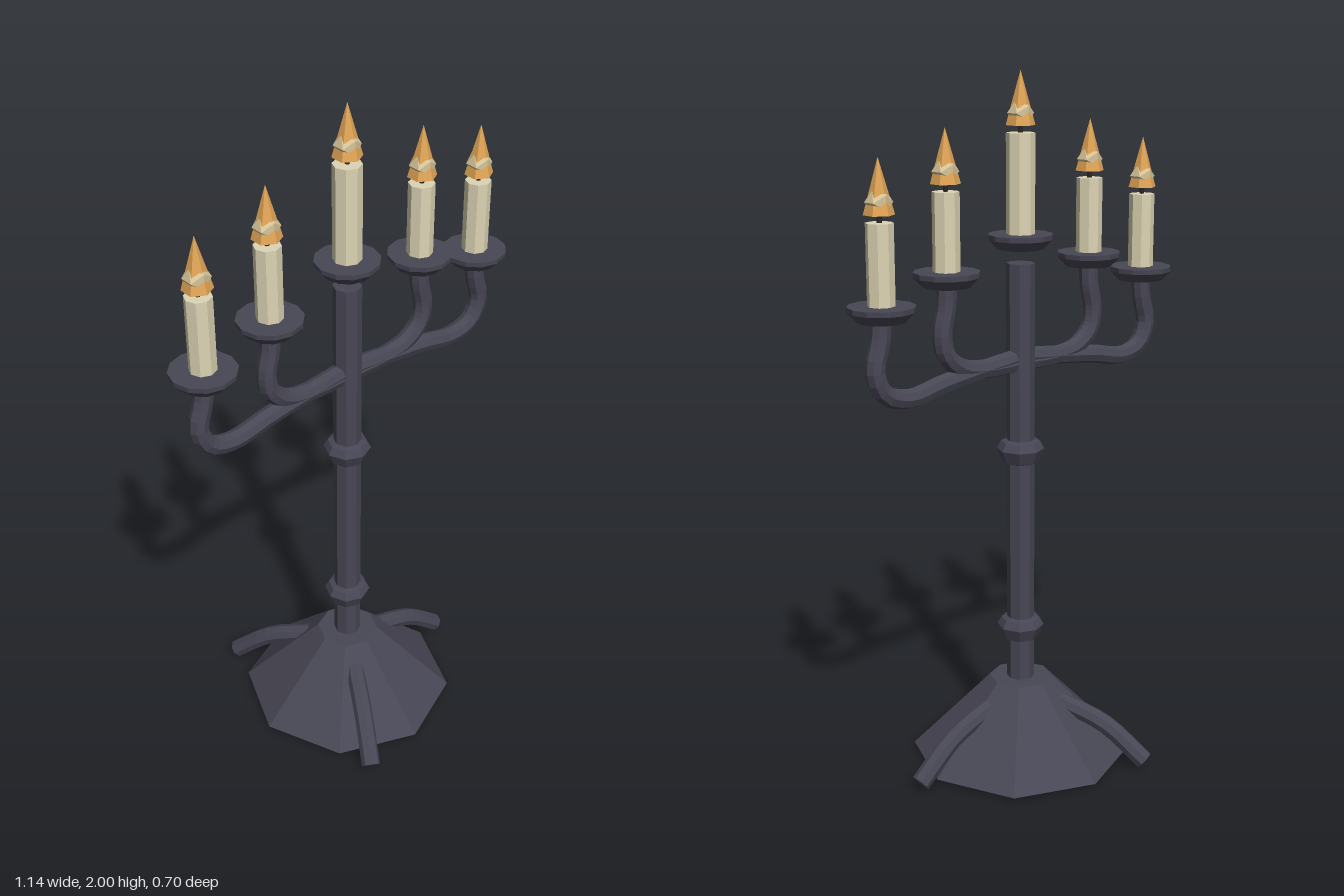
import * as THREE from 'three';

export function createModel() {
  const root = new THREE.Group();
  const mat = (name, color) => new THREE.MeshStandardMaterial({ name, color, flatShading: true });
  const iron = mat('dark iron', 0x474654);
  const wax = mat('cream wax', 0xdcd4b4);
  const fire = mat('orange flame', 0xe0a455);
  const glow = mat('pale flame core', 0xd8c69a);
  const soot = mat('wick', 0x2a2622);

  function add(parent, name, geometry, material, x = 0, y = 0, z = 0) {
    const mesh = new THREE.Mesh(geometry, material);
    mesh.name = name;
    mesh.position.set(x, y, z);
    parent.add(mesh);
    return mesh;
  }
  // Cylinder given by its bottom height and its height
  function column(parent, name, rTop, rBottom, y, height, sides, material) {
    return add(parent, name, new THREE.CylinderGeometry(rTop, rBottom, height, sides), material, 0, y + height / 2);
  }
  // Bent bar through [x, y] points, closed at its far end
  function bar(name, points, radius, segments) {
    const group = new THREE.Group();
    group.name = name;
    const curve = new THREE.CatmullRomCurve3(points.map(([x, y]) => new THREE.Vector3(x, y, 0)));
    add(group, name + 'Bar', new THREE.TubeGeometry(curve, segments, radius, 8), iron);
    const end = curve.getPoint(1);
    const cap = add(group, name + 'End', new THREE.CircleGeometry(radius, 8), iron, end.x, end.y, 0);
    cap.lookAt(end.clone().add(curve.getTangent(1)));
    return group;
  }

  // Eight-sided foot and three splayed legs
  column(root, 'base', 0.092, 0.322, 0.013, 0.231, 8, iron);
  for (let i = 0; i < 3; i++) {
    const leg = bar('leg', [[0.12, 0.178], [0.26, 0.124], [0.383, 0.024]], 0.028, 8);
    leg.rotation.y = i * Math.PI * 2 / 3;
    root.add(leg);
  }

  // Stem with two faceted collars
  column(root, 'stem', 0.04, 0.04, 0.22, 1.26, 8, iron);
  const collar = [[0.036, -0.036], [0.052, -0.03], [0.068, 0.008], [0.056, 0.03], [0.036, 0.036]]
    .map(([r, y]) => new THREE.Vector2(r, y));
  for (const y of [0.4, 0.94]) add(root, 'collar', new THREE.LatheGeometry(collar, 8), iron, 0, y);

  // Drip pan, candle, wick and flame; y is the pan's underside
  function candle(x, y, radius, height) {
    const group = new THREE.Group();
    group.name = 'candle';
    group.position.set(x, y, 0);
    column(group, 'panBowl', 0.09, 0.066, 0, 0.026, 12, iron);
    column(group, 'panRim', 0.091, 0.09, 0.026, 0.014, 12, iron);
    column(group, 'wax', radius, radius, 0.04, height, 8, wax);
    const top = 0.04 + height;
    column(group, 'wick', 0.007, 0.007, top, 0.03, 6, soot);
    column(group, 'flame', 0, 0.041, top + 0.02, 0.145, 6, fire);
    add(group, 'flameCore', new THREE.IcosahedronGeometry(0.037, 0), glow, 0, top + 0.052);
    root.add(group);
  }
  candle(0, 1.52, 0.04, 0.273);

  // Mirrored pairs of arms, each carrying a candle
  const outerArm = [[0, 1.215], [0.14, 1.2], [0.28, 1.182], [0.4, 1.161], [0.475, 1.185],
    [0.504, 1.25], [0.485, 1.325], [0.478, 1.39]];
  const innerArm = [[0, 1.2], [0.13, 1.2], [0.215, 1.215], [0.268, 1.26], [0.28, 1.32], [0.265, 1.39], [0.262, 1.455]];
  for (const side of [1, -1]) {
    for (const [name, path] of [['outerArm', outerArm], ['innerArm', innerArm]]) {
      const arm = bar(name, path, 0.027, 24);
      if (side < 0) arm.rotation.y = Math.PI;
      root.add(arm);
    }
    candle(side * 0.478, 1.38, 0.037, 0.213);
    candle(side * 0.262, 1.445, 0.037, 0.21);
  }
  return root;
}
